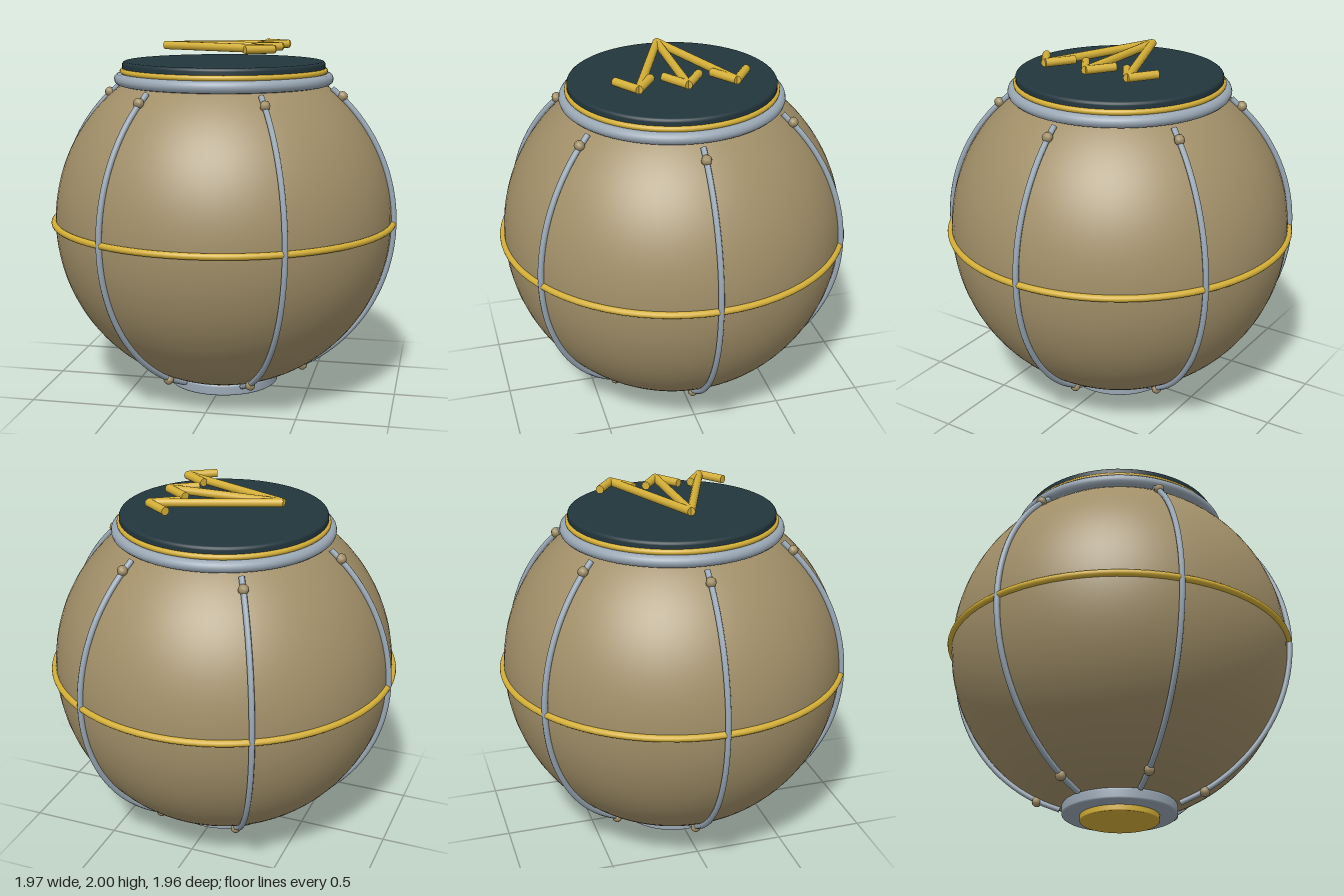
import * as THREE from 'three';

const tan = new THREE.MeshStandardMaterial({ color: 0xa18f68 });
tan.name = 'tan shell';
const gold = new THREE.MeshStandardMaterial({ color: 0xd4af37 });
gold.name = 'gold';
const steel = new THREE.MeshStandardMaterial({ color: 0x9aa8b5 });
steel.name = 'steel';
const dark = new THREE.MeshStandardMaterial({ color: 0x22363d });
dark.name = 'dark teal';

const CENTER_Y = 1.0;
const RIB_RADIUS = 0.967;
const deg = THREE.MathUtils.degToRad;

export function createModel() {
  const model = new THREE.Group();
  model.name = 'ribbedSphere';

  const add = (name, geometry, material, y = 0, parent = model) => {
    const mesh = new THREE.Mesh(geometry, material);
    mesh.name = name;
    mesh.position.y = y;
    parent.add(mesh);
    return mesh;
  };

  // Round disc with filleted edges, bottom at y0 and top at y1
  const disc = (radius, y0, y1, fillet) => {
    const pts = [new THREE.Vector2(0, y0)];
    for (const [cy, start] of [[y0 + fillet, -90], [y1 - fillet, 0]]) {
      for (let i = 0; i <= 4; i++) {
        const a = deg(start + i * 22.5);
        pts.push(new THREE.Vector2(radius - fillet + fillet * Math.cos(a), cy + fillet * Math.sin(a)));
      }
    }
    pts.push(new THREE.Vector2(0, y1));
    return new THREE.LatheGeometry(pts, 64);
  };

  const ring = (radius, tube) => new THREE.TorusGeometry(radius, tube, 12, 72).rotateX(Math.PI / 2);

  // Shell, cut open beneath the lid and the foot
  add('shell', new THREE.SphereGeometry(0.955, 72, 48, 0, Math.PI * 2, deg(36), deg(126)), tan, CENTER_Y);
  add('equatorBand', ring(0.962, 0.018), gold, CENTER_Y);

  // Lid: steel collar, gold trim and dark cap
  add('collar', ring(0.58, 0.033), steel, 1.798);
  add('lidTrim', ring(0.565, 0.016), gold, 1.842);
  add('lidCap', disc(0.567, 1.79, 1.895, 0.018), dark);

  // Foot
  add('foot', disc(0.315, 0.035, 0.098, 0.012), steel);
  add('footPlate', disc(0.217, 0.003, 0.05, 0.006), gold);

  // Six curved ribs, each with a bead near both ends
  const onArc = (angle, r = RIB_RADIUS) =>
    new THREE.Vector3(Math.cos(deg(angle)) * r, Math.sin(deg(angle)) * r, 0);
  const arc = [];
  for (let i = 0; i <= 16; i++) arc.push(onArc(-70 + (i / 16) * 121));
  const ribGeometry = new THREE.TubeGeometry(new THREE.CatmullRomCurve3(arc), 40, 0.016, 8);
  const beadGeometry = new THREE.SphereGeometry(0.029, 8, 6);
  for (let i = 0; i < 6; i++) {
    const rib = new THREE.Group();
    rib.name = 'rib' + (i + 1);
    rib.position.y = CENTER_Y;
    rib.rotation.y = (i * Math.PI) / 3;
    add('ribTube', ribGeometry, steel, 0, rib);
    for (const [name, angle] of [['upperBead', 46.7], ['lowerBead', -61.5]]) {
      add(name, beadGeometry, tan, 0, rib).position.copy(onArc(angle, 0.973));
    }
    model.add(rib);
  }

  // Three branching arrow rods floating above the lid
  const arrows = new THREE.Group();
  arrows.name = 'arrowRods';
  arrows.position.y = 1.977;
  model.add(arrows);
  const rod = (name, x0, z0, x1, z1) => {
    const from = new THREE.Vector3(x0, 0, z0);
    const to = new THREE.Vector3(x1, 0, z1);
    const dir = to.clone().sub(from);
    const mesh = add(name, new THREE.CylinderGeometry(0.023, 0.023, dir.length(), 12), gold, 0, arrows);
    mesh.position.copy(from).add(to).multiplyScalar(0.5);
    mesh.quaternion.setFromUnitVectors(new THREE.Vector3(0, 1, 0), dir.normalize());
  };
  for (const z of [-0.26, 0, 0.26]) {
    rod('arrowShaft', -0.335, 0, 0.325, z);
    for (const side of [-1, 1]) rod('arrowBarb', 0.325, z, 0.185, z + side * 0.095);
  }

  return model;
}
